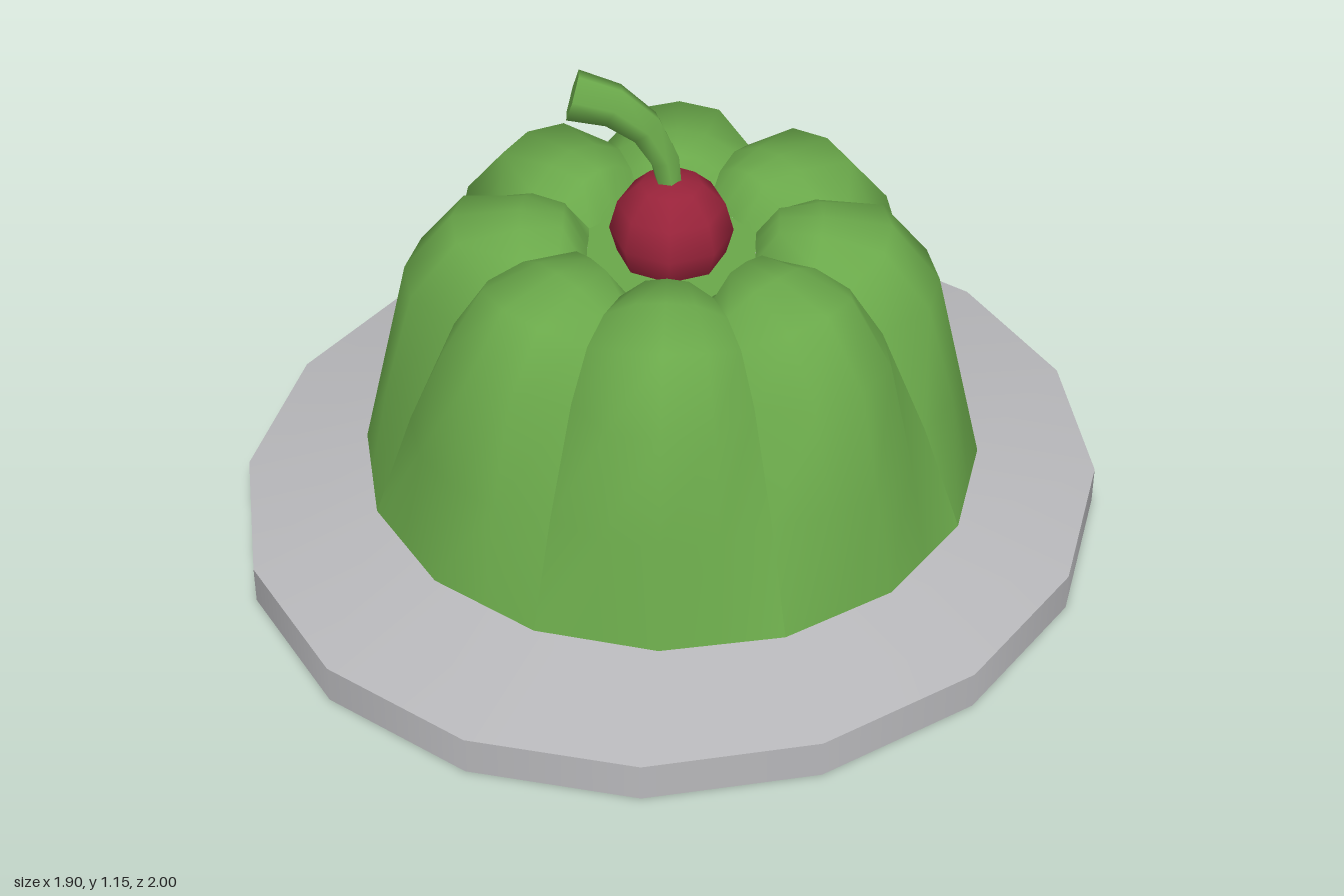
import * as THREE from 'three';

const mat = (name, color) => {
  const m = new THREE.MeshStandardMaterial({ color });
  m.name = name;
  return m;
};

function addMesh(parent, name, geometry, material) {
  const mesh = new THREE.Mesh(geometry, material);
  mesh.name = name;
  parent.add(mesh);
  return mesh;
}

// One plate band; the outer rim is slightly narrower across x
function plateBand(profile) {
  const geo = new THREE.LatheGeometry(profile.map((p) => new THREE.Vector2(...p)), 16);
  const p = geo.attributes.position;
  for (let i = 0; i < p.count; i++) {
    if (Math.hypot(p.getX(i), p.getZ(i)) > 0.8) p.setX(i, p.getX(i) * 0.95);
  }
  geo.computeBoundingSphere();
  return geo;
}

// One jelly lobe lofted between a groove, its ridge and the next groove
function lobeGeometry() {
  const ridge = [[0.70, 0.16], [0.645, 0.40], [0.59, 0.64], [0.48, 0.78], [0.33, 0.80], [0.235, 0.795], [0.185, 0.70]];
  const groove = [[0.70, 0.16], [0.61, 0.40], [0.50, 0.63], [0.42, 0.725], [0.34, 0.755], [0.26, 0.75], [0.20, 0.70]];
  const bulge = [0, 0.84, 1, 0.84, 0];
  const pos = [], index = [];
  ridge.forEach((rp, row) => {
    bulge.forEach((b, col) => {
      const a = (col / 4 - 0.5) * Math.PI / 4;
      let r = THREE.MathUtils.lerp(groove[row][0], rp[0], b);
      const y = THREE.MathUtils.lerp(groove[row][1], rp[1], b);
      // the foot is a plain sixteen-sided ring
      if (row === 0 && col % 2) r *= Math.cos(Math.PI / 16);
      pos.push(r * Math.sin(a), y, r * Math.cos(a));
      if (row < ridge.length - 1 && col < 4) {
        const i = row * 5 + col;
        index.push(i, i + 1, i + 6, i, i + 6, i + 5);
      }
    });
  });
  const geo = new THREE.BufferGeometry();
  geo.setAttribute('position', new THREE.Float32BufferAttribute(pos, 3));
  geo.setIndex(index);
  geo.computeVertexNormals();
  return geo;
}

export function createModel() {
  const model = new THREE.Group();
  model.name = 'jellyDessert';
  const green = mat('jellyGreen', 0x6aa84a);
  const red = mat('cherryRed', 0x98233a);
  const grey = mat('plateGrey', 0xb8b8bb);

  // Plate with a hollow shaped like a spherical cap underneath
  const plate = new THREE.Group();
  plate.name = 'plate';
  model.add(plate);
  const rim = 0.675, depth = 0.45;
  const capRadius = (rim * rim + depth * depth) / (2 * depth);
  const capAngle = Math.asin(rim / capRadius);
  const dome = [];
  for (let i = 0; i <= 8; i++) {
    const a = i / 8 * capAngle;
    dome.push([capRadius * Math.sin(a), capRadius * Math.cos(a) + depth - capRadius]);
  }
  addMesh(plate, 'plateHollow', plateBand(dome), grey);
  addMesh(plate, 'plateFoot', plateBand([[rim, 0], [1, 0]]), grey);
  addMesh(plate, 'plateEdge', plateBand([[1, 0], [1, 0.09]]), grey);
  addMesh(plate, 'plateTop', plateBand([[1, 0.09], [0.69, 0.162]]), grey);

  // Jelly: eight lobes around a flat well
  const jelly = new THREE.Group();
  jelly.name = 'jelly';
  model.add(jelly);
  const lobe = lobeGeometry();
  for (let i = 0; i < 8; i++) {
    addMesh(jelly, 'jellyLobe', lobe, green).rotation.y = i * Math.PI / 4;
  }
  const well = new THREE.CircleGeometry(0.2, 8, Math.PI / 8);
  well.rotateX(-Math.PI / 2);
  addMesh(jelly, 'jellyWell', well, green).position.y = 0.70;

  // Cherry
  const cherry = addMesh(model, 'cherry', new THREE.SphereGeometry(0.136, 8, 6), red);
  cherry.position.y = 0.76;

  // Curved stem, widening to its cut end
  const path = new THREE.CatmullRomCurve3([
    [0, 0.85, 0], [-0.01, 0.92, 0.003], [-0.037, 1.0, 0.025], [-0.085, 1.07, 0.08], [-0.152, 1.096, 0.145],
  ].map((p) => new THREE.Vector3(...p)));
  const steps = 4, sides = 6;
  const tube = new THREE.TubeGeometry(path, steps, 1, sides);
  const p = tube.attributes.position;
  const v = new THREE.Vector3();
  for (let i = 0; i < p.count; i++) {
    const t = Math.floor(i / (sides + 1)) / steps;
    const c = path.getPointAt(t);
    v.fromBufferAttribute(p, i).sub(c).multiplyScalar(0.026 + 0.031 * t).add(c);
    p.setXYZ(i, v.x, v.y, v.z);
  }
  tube.computeBoundingSphere();
  addMesh(model, 'stem', tube, green);

  // Cut end, a flat disc facing along the stem
  const end = path.getPointAt(1);
  const first = steps * (sides + 1);
  const ring = [];
  for (let i = 0; i < sides; i++) {
    for (const k of [i + 1, i]) ring.push(p.getX(first + k), p.getY(first + k), p.getZ(first + k));
    ring.push(end.x, end.y, end.z);
  }
  const cap = new THREE.BufferGeometry();
  cap.setAttribute('position', new THREE.Float32BufferAttribute(ring, 3));
  // wind the fan so that it faces outward
  cap.computeVertexNormals();
  v.fromBufferAttribute(cap.attributes.normal, 0);
  if (v.dot(path.getTangentAt(1)) < 0) {
    cap.setIndex([...Array(sides * 3).keys()].reverse());
    cap.computeVertexNormals();
  }
  addMesh(model, 'stemEnd', cap, green);

  return model;
}
